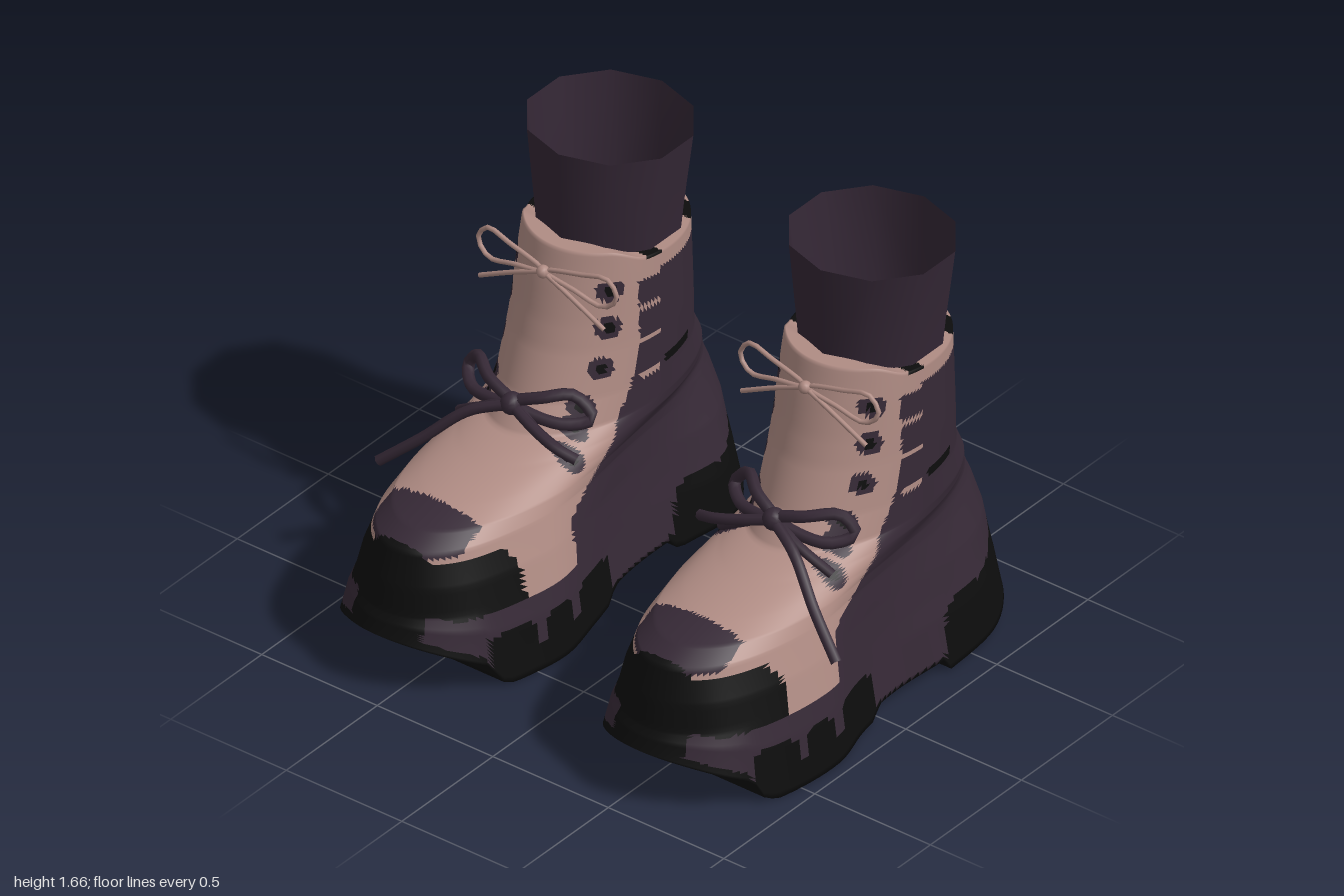
import * as THREE from 'three';

const V = (x, y, z) => new THREE.Vector3(x, y, z);
const CX = 0.567; // boot centre line

// Sole outline, from the toe round the outer side to the heel and back
const outline = new THREE.CatmullRomCurve3([
  [0, .91], [.14, .87], [.28, .75], [.36, .55], [.385, .3], [.335, .1], [.315, -.1],
  [.33, -.38], [.315, -.63], [.18, -.85], [.02, -.91], [-.19, -.84], [-.325, -.63],
  [-.285, -.37], [-.29, -.1], [-.345, .15], [-.385, .35], [-.365, .5], [-.295, .72], [-.165, .86],
].map(([x, z]) => V(x / .385, 0, z / .91)), true);

// Linear lookup in a table of [key, value] with rising keys
function lookup(table, k) {
  if (k <= table[0][0]) return table[0][1];
  for (let i = 1; i < table.length; i++) {
    const [a, p] = table[i - 1], [b, q] = table[i];
    if (k <= b) return p + (q - p) * (k - a) / (b - a);
  }
  return table[table.length - 1][1];
}

// Skin over level rings [y, back z, front z, half width, roundness]
function loft(levels, n, rows, warp, paint) {
  const pos = [], faces = [[], [], []];
  const total = (levels.length - 1) * rows;
  for (let i = 0; i <= total; i++) {
    const s = Math.min(Math.floor(i / rows), levels.length - 2), t = i / rows - s;
    const [y, back, front, hw, k] = levels[s].map((v, m) => v + (levels[s + 1][m] - v) * t);
    for (let j = 0; j < n; j++) {
      const a = j / n * Math.PI * 2, o = outline.getPoint(j / n);
      const x = o.x * (1 - k) + Math.sin(a) * k, z = o.z * (1 - k) + Math.cos(a) * k;
      const pz = (back + front) / 2 + z * (front - back) / 2;
      pos.push(CX + x * hw, warp ? warp(y, pz) : y, pz);
    }
  }
  const add = (row, ...tri) => {
    const mid = d => tri.reduce((sum, v) => sum + pos[v * 3 + d], 0) / 3;
    faces[paint ? paint(Math.abs(mid(0) - CX), mid(1), mid(2), row) : 0].push(...tri);
  };
  for (let i = 0; i < total; i++) for (let j = 0; j < n; j++) {
    const a = i * n + j, b = i * n + (j + 1) % n;
    add(i, a, b, b + n);
    add(i, a, b + n, a + n);
  }
  const g = new THREE.BufferGeometry();
  g.setAttribute('position', new THREE.Float32BufferAttribute(pos, 3));
  g.setIndex(faces.flat());
  let start = 0;
  if (paint) faces.forEach((f, m) => { g.addGroup(start, f.length, m); start += f.length; });
  g.computeVertexNormals();
  return g;
}

// Flip a geometry in x and keep its faces outward
function mirror(geometry) {
  const g = geometry.clone().scale(-1, 1, 1), ix = g.index.array;
  for (let i = 0; i < ix.length; i += 3) [ix[i], ix[i + 1]] = [ix[i + 1], ix[i]];
  return g;
}

const ROWS = 10;
const bootLevels = [
  [0, -.91, .92, 0, 0], [0, -.91, .92, .388, 0], [.2, -.875, .90, .36, 0], [.4, -.845, .86, .32, .15],
  [.52, -.81, .82, .292, .4], [.565, -.79, .73, .285, .55], [.6, -.78, .58, .28, .8],
  [.64, -.77, .38, .28, 1], [.68, -.755, .21, .278, 1], [.78, -.70, .13, .275, 1],
  [.95, -.685, .06, .275, 1], [1.15, -.665, 0, .275, 1], [1.265, -.65, -.04, .275, 1], [1.265, -.61, -.11, .235, 1],
];
const soleBottom = [[-.91, .045], [-.37, .005], [-.355, .06], [0, .06], [.05, .01], [.6, 0], [.65, .02], [.69, .1], [.92, .22]];
const heelTop = [[-.85, .36], [-.78, .32], [-.7, .28], [-.6, .255], [-.45, .26], [-.38, .22], [-.36, .07]];
const quarterEdge = [[.28, .23], [.45, .23], [.48, .18], [.52, .1], [.63, -.04], [.78, -.15], [.95, -.195], [1.2, -.2]];
const eyelets = [[-.11, 1.17], [-.09, 1.03], [-.05, .885], [.03, .76], [.07, .7], [.15, .63]];
const treads = [[.02, .25], [.3, .44], [.48, .68]];

// Arch, heel and toe spring below; collar raised at the front
function bootWarp(y, z) {
  const b = lookup(soleBottom, z);
  if (y < .3) return b + y * (.3 - b) / .3;
  return y + .045 * THREE.MathUtils.clamp((y - 1.05) / .2, 0, 1) * THREE.MathUtils.smoothstep(z, -.24, -.12);
}

const PURPLE = 0, TAN = 1, BLACK = 2;
function bootPaint(dx, y, z, row) {
  if (row < ROWS) return BLACK;
  // sole, treads and heel
  if (z < -.355) { if (y < lookup(heelTop, z)) return BLACK; }
  else if (z < .02 && y < .07) return BLACK;
  if (z >= .02 && z < .7) {
    if (y < .1) return BLACK;
    for (const [a, b] of treads) {
      const d = Math.min(z - a, b - z);
      if (d > 0 && y < .2 - .5 * Math.max(0, .04 - d)) return BLACK;
    }
  }
  // toe cap and its inlays
  if (z > .5 && y > .28 - .3 * Math.max(0, .53 - z)) {
    if (z > .585 && z < .79 && dx < .19 && y > .5) return PURPLE;
    if (z > .78 || y < .485 - Math.max(0, .55 - z) * 1.4) {
      return dx > .15 && y < .275 + Math.max(0, z - .75) * .4 ? PURPLE : BLACK;
    }
    return TAN;
  }
  if (z > .69) return dx > .15 && y > lookup(soleBottom, z) + .03 ? PURPLE : BLACK;
  // collar band with two stitches
  if (y > 1.25 && (Math.abs(z + .27) < .03 || Math.abs(z + .55) < .04)) return BLACK;
  if (y > 1.2) return TAN;
  // eyelets
  if (dx > .1) for (const [ez, ey] of eyelets) {
    const d = Math.hypot(z - ez, y - ey);
    if (d < .018) return BLACK;
    if (d < .042) return PURPLE;
  }
  // vamp and tongue
  if (y > .28 && z > lookup(quarterEdge, y)) return TAN;
  // side tabs and slit
  if (z > -.29 && z < -.19 && [.8, .945, 1.07, 1.19].some(t => Math.abs(y - t) < .01)) return TAN;
  if (z > -.48 && z < -.32 && Math.abs(y - .813) < .014) return BLACK;
  return PURPLE;
}

// Cord through points relative to the boot centre line
function cord(points, radius, closed = false) {
  const curve = new THREE.CatmullRomCurve3(points.map(([x, y, z]) => V(CX + x, y, z)), closed);
  return new THREE.TubeGeometry(curve, 20, radius, 7, closed);
}
const knot = (y, z, r) => new THREE.SphereGeometry(r, 10, 8).translate(CX, y, z);

export function createModel() {
  const mat = (name, color) => Object.assign(new THREE.MeshStandardMaterial({ color }), { name });
  const purple = mat('dark purple leather', 0x362936);
  const tan = mat('dusty tan leather', 0xb08c84);
  const black = mat('black rubber', 0x0d0d0d);
  const sockMat = mat('sock purple', 0x342735);
  sockMat.side = THREE.DoubleSide;

  const parts = [
    ['bootBody', loft(bootLevels, 140, ROWS, bootWarp, bootPaint), [purple, tan, black]],
    ['sock', loft([[1, -.62, -.1, .24, 1], [1.3, -.635, -.095, .255, 1], [1.66, -.65, -.08, .305, 1]], 10, 1), sockMat],
    ['sockFloor', new THREE.CircleGeometry(.24, 10).rotateX(-Math.PI / 2).scale(1, 1, 1.08).translate(CX, 1.03, -.36), black],
    // thick lower bow
    ['lowerKnot', knot(.775, .175, .042), purple],
    ['lowerOuterLoop', cord([[0, .775, .17], [.12, .82, .15], [.22, .83, .08], [.27, .77, .07], [.2, .74, .14]], .022, true), purple],
    ['lowerInnerLoop', cord([[0, .775, .17], [-.1, .82, .14], [-.19, .83, .07], [-.26, .76, .06], [-.18, .74, .13]], .022, true), purple],
    ['lowerOuterTail', cord([[0, .775, .18], [.14, .72, .24], [.28, .59, .31], [.425, .465, .37]], .02), purple],
    ['lowerInnerTail', cord([[0, .775, .18], [-.12, .74, .21], [-.22, .71, .22], [-.3, .68, .2]], .02), purple],
    ['lowerCrossLace', cord([[-.24, .64, .16], [-.12, .72, .19], [0, .77, .17], [.12, .72, .19], [.24, .64, .16]], .018), purple],
    // thin upper bow
    ['upperKnot', knot(1.225, .005, .024), tan],
  ];
  for (const s of [-1, 1]) {
    const side = s > 0 ? 'Outer' : 'Inner';
    parts.push(
      [`upper${side}Loop`, cord([[0, 1.225, 0], [s * .16, 1.27, -.01], [s * .26, 1.285, -.02], [s * .3, 1.225, -.02],
        [s * .25, 1.175, -.01], [s * .13, 1.2, 0]], .009, true), tan],
      [`upper${side}Tail`, cord([[0, 1.225, .005], [s * .12, 1.175, .01], [s * .27, 1.1, .01]], .009), tan]);
  }

  const model = new THREE.Group();
  model.name = 'pairOfBoots';
  for (const side of ['left', 'right']) {
    const boot = new THREE.Group();
    boot.name = `${side}Boot`;
    for (const [name, geometry, material] of parts) {
      const mesh = new THREE.Mesh(side === 'left' ? geometry : mirror(geometry), material);
      mesh.name = name;
      boot.add(mesh);
    }
    model.add(boot);
  }
  return model;
}
